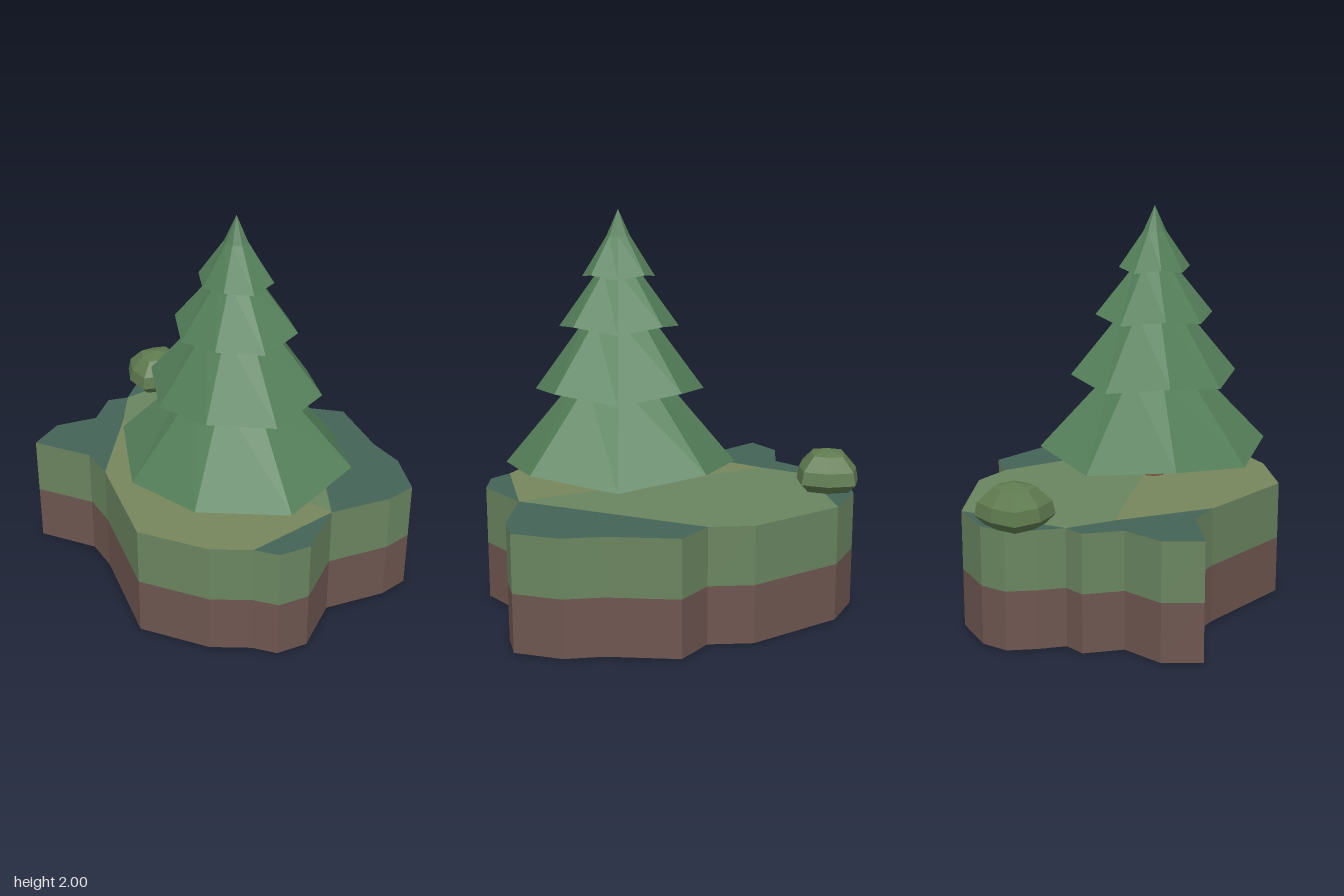
import * as THREE from 'three';

const TOP = 0.59, MID = 0.295;

// Island outline seen from above as [x, z], clockwise from the left spike
const OUTLINE = [
  [-0.85, -0.41], [-0.70, -0.54], [-0.48, -0.54], [-0.36, -0.70], [-0.25, -0.69],
  [-0.17, -0.80], [-0.07, -0.91], [0.07, -0.93], [0.30, -0.84], [0.61, -0.44],
  [0.64, -0.22], [0.81, -0.11], [0.81, 0.25], [0.85, 0.44], [0.80, 0.68],
  [0.65, 0.73], [0.33, 0.73], [0.12, 0.94], [-0.04, 0.95], [-0.14, 0.87],
  [-0.33, 0.79], [-0.60, 0.54], [-0.59, -0.01], [-0.62, -0.19],
];

const material = (color, side = THREE.FrontSide) =>
  new THREE.MeshStandardMaterial({ color, flatShading: true, side });

function part(name, geometry, mat) {
  const mesh = new THREE.Mesh(geometry, mat);
  mesh.name = name;
  return mesh;
}

// Vertical band following the outline
function wall(y0, y1) {
  const pos = [];
  OUTLINE.forEach(([ax, az], i) => {
    const [bx, bz] = OUTLINE[(i + 1) % OUTLINE.length];
    pos.push(bx, y0, bz, ax, y0, az, ax, y1, az);
    pos.push(bx, y0, bz, ax, y1, az, bx, y1, bz);
  });
  const g = new THREE.BufferGeometry();
  g.setAttribute('position', new THREE.Float32BufferAttribute(pos, 3));
  g.computeVertexNormals();
  return g;
}

// Flat polygon facing up (sign 1) or down (sign -1)
function flat(points, y, sign = 1) {
  const shape = new THREE.Shape(points.map(([x, z]) => new THREE.Vector2(x, -sign * z)));
  return new THREE.ShapeGeometry(shape).rotateX(-sign * Math.PI / 2).translate(0, y, 0);
}

// Eight-sided lathe with uneven radii; profile rows are [radius, y, lift of the diagonal corners]
function facetedLathe(profile, factors, turn) {
  const g = new THREE.LatheGeometry(profile.map(([r, y]) => new THREE.Vector2(r, y)), 8, turn);
  const p = g.attributes.position, n = profile.length;
  for (let i = 0; i < p.count; i++) {
    const corner = Math.floor(i / n), f = factors[corner % 4];
    const lift = corner % 2 ? profile[i % n][2] || 0 : 0;
    p.setXYZ(i, p.getX(i) * f, p.getY(i) + lift, p.getZ(i) * f);
  }
  g.computeVertexNormals();
  return g;
}

function createIsland() {
  const island = new THREE.Group();
  island.name = 'island';
  const soil = material(0x6e5650), grass = material(0x6a8560);
  const dryGrass = material(0x76875d), moss = material(0x446357);

  island.add(part('soilWall', wall(0, MID), soil));
  island.add(part('islandBottom', flat(OUTLINE, 0, -1), soil));
  island.add(part('grassWall', wall(MID, TOP), grass));

  // Top surface: mossy corners around two meadow patches
  const o = (a, b) => OUTLINE.slice(a, b + 1);
  const inner = [-0.35, -0.46];
  island.add(part('mossLeft', flat([...o(22, 23), ...o(0, 4), inner], TOP), moss));
  island.add(part('mossBack', flat(o(4, 8), TOP), moss));
  island.add(part('mossRight', flat(o(10, 16), TOP), moss));
  island.add(part('mossFront', flat(o(16, 19), TOP), moss));
  island.add(part('meadow', flat([inner, OUTLINE[4], ...o(8, 10), OUTLINE[16]], TOP), grass));
  island.add(part('dryMeadow', flat([inner, OUTLINE[16], ...o(19, 22)], TOP), dryGrass));
  return island;
}

function createTree() {
  const tree = new THREE.Group();
  tree.name = 'tree';
  tree.position.set(0.01, 0, 0.26);

  const trunk = new THREE.CylinderGeometry(0.058, 0.062, 0.27, 8).translate(0, TOP + 0.135, 0);
  tree.add(part('trunk', trunk, material(0x7b5a3f)));

  // Each tier: rim radius, rim height, corner lift, neck radius, neck height
  const tiers = [
    [0.557, 0.715, 0.05, 0.205, 1.16],
    [0.405, 1.10, 0.04, 0.15, 1.47],
    [0.285, 1.42, 0.03, 0.095, 1.70],
    [0.172, 1.67, 0.02, 0.055, 1.87],
  ];
  const leaves = material(0x55805a);
  const factors = [1.05, 1.075, 1, 1.075];
  tiers.forEach(([r, y, lift, neckR, neckY], i) => {
    const profile = [[0, y + 0.08], [r, y, lift], [neckR, neckY]];
    profile.push([0, i === 3 ? 2 : neckY]);
    tree.add(part('foliageTier' + (i + 1), facetedLathe(profile, factors, 0.09), leaves));
  });
  return tree;
}

function createBush() {
  const profile = [[0, TOP], [0.125, TOP], [0.168, 0.635], [0.155, 0.70], [0.09, 0.77], [0, 0.795]];
  const bush = part('bush', facetedLathe(profile, [0.93, 1.13, 1, 1.13], 0), material(0x5f7a4f));
  bush.position.set(-0.03, 0, -0.80);
  return bush;
}

export function createModel() {
  const model = new THREE.Group();
  model.name = 'treeIsland';
  model.add(createIsland(), createTree(), createBush());
  return model;
}
